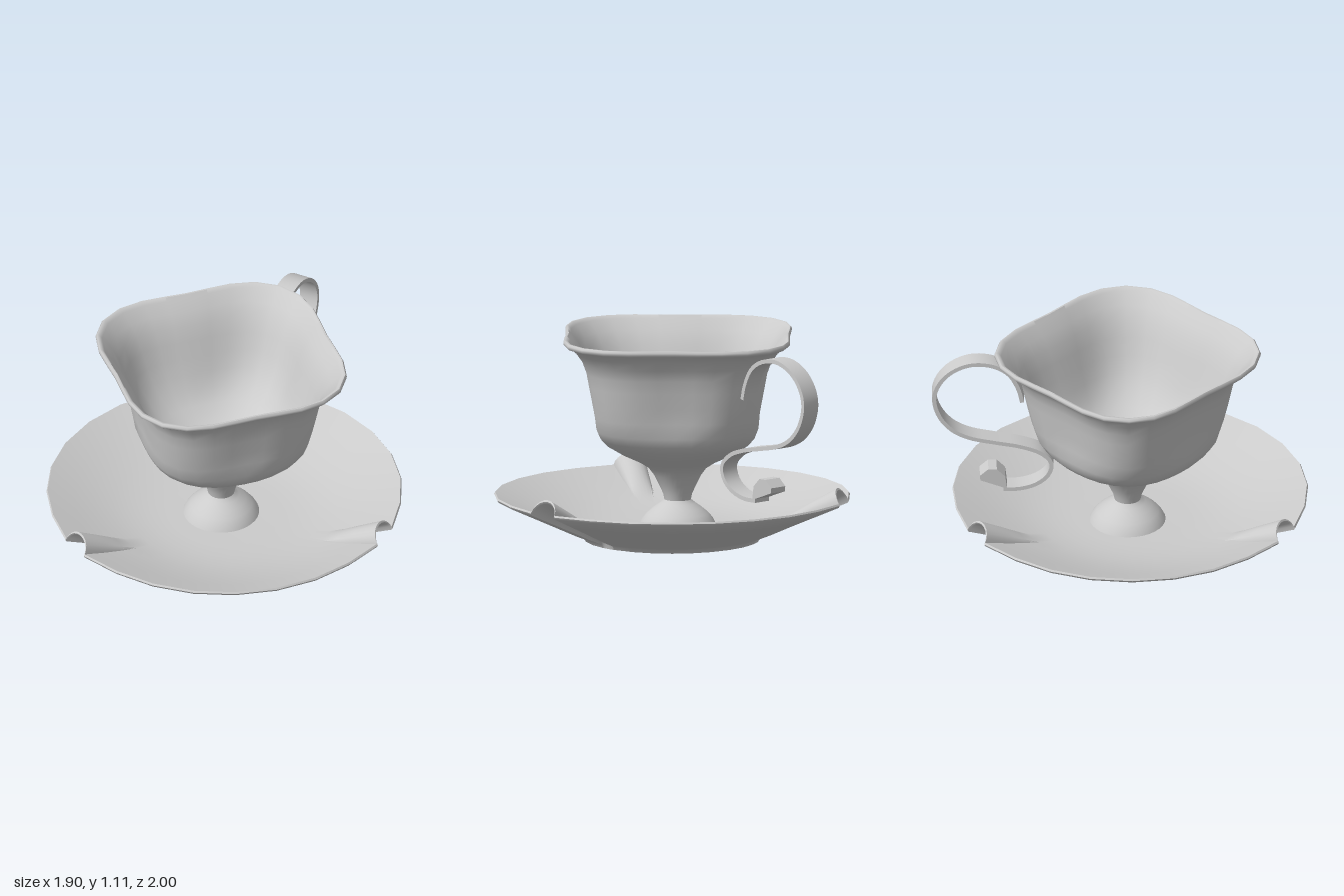
import * as THREE from 'three';
import { toCreasedNormals } from 'three/addons/utils/BufferGeometryUtils.js';

const material = new THREE.MeshStandardMaterial({ color: 0xcccccc, side: THREE.DoubleSide });

function addMesh(parent, name, geometry) {
  const mesh = new THREE.Mesh(geometry, material);
  mesh.name = name;
  parent.add(mesh);
  return mesh;
}

// Skin a list of closed rings, each an array of Vector3 of equal length
function loft(rings, crease) {
  const n = rings[0].length;
  const positions = rings.flat().flatMap((p) => [p.x, p.y, p.z]);
  const index = [];
  for (let i = 0; i < rings.length - 1; i++) {
    for (let j = 0; j < n; j++) {
      const a = i * n + j, c = i * n + ((j + 1) % n);
      index.push(a, a + n, c, a + n, c + n, c);
    }
  }
  const g = new THREE.BufferGeometry();
  g.setAttribute('position', new THREE.Float32BufferAttribute(positions, 3));
  g.setIndex(index);
  return toCreasedNormals(g, crease);
}

// Saucer ring: three raised flutes of the given height, widening to the rim
function saucerRing([r, y, height = 0]) {
  const ring = [], third = (Math.PI * 2) / 3, fluteSteps = 10, plainSteps = 8;
  const w = 0.045 + 0.042 * THREE.MathUtils.clamp((r - 0.5) / 0.445, 0, 1);
  const half = Math.asin(Math.min(w / r, 0.12));
  const reach = height > 0 ? 1 + 0.013 * THREE.MathUtils.smoothstep(r, 0.6, 0.94) : 1;
  for (let k = 0; k < 3; k++) {
    for (let i = 0; i <= fluteSteps; i++) {
      const phi = Math.PI * (i / fluteSteps);
      const h = height * Math.sin(phi);
      const a = k * third - half * Math.cos(phi);
      const rr = r * reach - 0.5 * h;
      ring.push(new THREE.Vector3(rr * Math.cos(a), y + 0.88 * h, rr * Math.sin(a)));
    }
    for (let i = 1; i < plainSteps; i++) {
      const a = k * third + half + (third - 2 * half) * (i / plainSteps);
      ring.push(new THREE.Vector3(r * Math.cos(a), y, r * Math.sin(a)));
    }
  }
  return ring;
}

// Cup ring: four soft lobes on the axes, drawn in on the diagonals
function cupRing([r, y]) {
  const depth = 0.16 * THREE.MathUtils.smoothstep(y, 0.36, 0.75);
  return Array.from({ length: 32 }, (_, j) => {
    const a = (j / 32) * Math.PI * 2;
    const rr = r * (1 - depth * (1 - Math.cos(4 * a)) / 2);
    return new THREE.Vector3(rr * Math.cos(a), y, rr * Math.sin(a));
  });
}

// Extrude a (z, y) outline across x, centred on x = 0
function extrudeAcross(points, width) {
  const shape = new THREE.Shape(points.map(([z, y]) => new THREE.Vector2(-z, y)));
  const g = new THREE.ExtrudeGeometry(shape, { depth: width, bevelEnabled: false });
  g.translate(0, 0, -width / 2);
  g.rotateY(Math.PI / 2);
  return toCreasedNormals(g, 0.6);
}

export function createModel() {
  const model = new THREE.Group();
  model.name = 'cupAndSaucer';

  // Saucer as radius, height and flute height: underside, rim, then the shallower top
  const saucerProfile = [
    [0.001, 0.004], [0.43, 0.004], [0.44, 0], [0.465, 0.005], [0.48, 0.026, 0.012], [0.5, 0.034, 0.028],
    [0.56, 0.058, 0.042], [0.66, 0.104, 0.054], [0.8, 0.168, 0.068], [0.94, 0.232, 0.078], [0.946, 0.243, 0.079],
    [0.94, 0.252, 0.079], [0.8, 0.198, 0.054], [0.7, 0.163, 0.03], [0.6, 0.133], [0.5, 0.11], [0.4, 0.097],
    [0.3, 0.091], [0.001, 0.09],
  ];
  addMesh(model, 'saucer', loft(saucerProfile.map(saucerRing), 0.7)).position.set(-0.006, 0, 0.055);

  const cup = new THREE.Group();
  cup.name = 'cup';
  cup.position.set(-0.033, 0, 0.04);
  model.add(cup);

  // Domed foot under the stem
  const footProfile = [[0.205, 0.085], [0.19, 0.115], [0.165, 0.145], [0.13, 0.175], [0.095, 0.2], [0.07, 0.22], [0.06, 0.24]]
    .map(([x, y]) => new THREE.Vector2(x, y));
  addMesh(cup, 'foot', new THREE.LatheGeometry(footProfile, 32));

  // Stem, bowl, rolled rim and funnel-shaped inner wall
  const bowlProfile = [
    [0.001, 0.205], [0.068, 0.205], [0.077, 0.25], [0.1, 0.3], [0.125, 0.35], [0.155, 0.39], [0.21, 0.425],
    [0.31, 0.47], [0.41, 0.525], [0.45, 0.56], [0.485, 0.61], [0.51, 0.69], [0.53, 0.77], [0.55, 0.86], [0.565, 0.93],
    [0.59, 0.99], [0.63, 1.04], [0.675, 1.078], [0.697, 1.081], [0.707, 1.09], [0.708, 1.102], [0.7, 1.112], [0.688, 1.112],
    [0.672, 1.095], [0.62, 1.04], [0.575, 0.97], [0.54, 0.89], [0.505, 0.8], [0.465, 0.715], [0.41, 0.635],
    [0.34, 0.57], [0.25, 0.515], [0.16, 0.475], [0.08, 0.455], [0.001, 0.45],
  ];
  addMesh(cup, 'bowl', loft(bowlProfile.map(cupRing), 0.9));

  // Scrolled ribbon handle at the back
  const handle = new THREE.Group();
  handle.name = 'handle';
  handle.position.x = -0.021;
  model.add(handle);
  const path = new THREE.CatmullRomCurve3([
    [-0.52, 0.83], [-0.54, 0.91], [-0.59, 1.0], [-0.67, 1.05], [-0.785, 1.062], [-0.89, 1.02], [-0.96, 0.945],
    [-0.988, 0.855], [-0.96, 0.745], [-0.89, 0.66], [-0.8, 0.613], [-0.66, 0.582], [-0.53, 0.557], [-0.42, 0.515],
    [-0.365, 0.455], [-0.38, 0.385], [-0.44, 0.33], [-0.53, 0.3], [-0.62, 0.297],
  ].map(([z, y]) => new THREE.Vector3(z, y, 0)));
  const sides = [[], []];
  const steps = 72;
  for (let i = 0; i <= steps; i++) {
    const p = path.getPointAt(i / steps), t = path.getTangentAt(i / steps);
    sides[0].push([p.x - t.y * 0.011, p.y + t.x * 0.011]);
    sides[1].unshift([p.x + t.y * 0.011, p.y - t.x * 0.011]);
  }
  addMesh(handle, 'handleRibbon', extrudeAcross([...sides[0], ...sides[1]], 0.104));

  // Faceted knob closing the scroll
  const knob = [[-0.6, 0.3], [-0.61, 0.375], [-0.655, 0.42], [-0.7, 0.42], [-0.745, 0.38], [-0.742, 0.352], [-0.64, 0.315]];
  addMesh(handle, 'handleKnob', extrudeAcross(knob, 0.104));

  return model;
}
